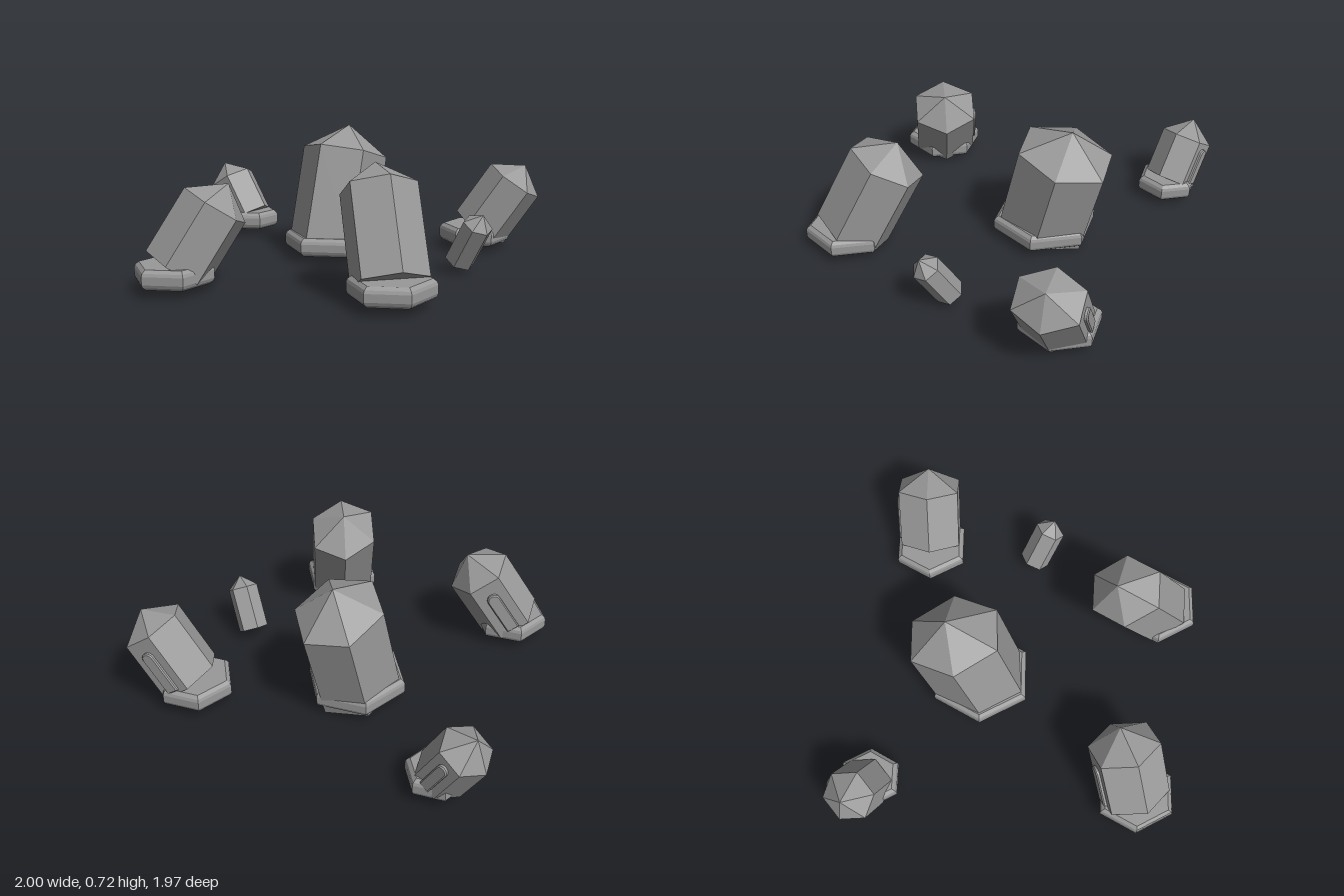
import * as THREE from 'three';

const stone = new THREE.MeshStandardMaterial({ color: 0x999999, flatShading: true });
stone.name = 'grey stone';

// Six-sided solid turned from a profile, with corners on the x axis.
function hexSolid(profile, name, stretch) {
  const points = profile.map(([r, y]) => new THREE.Vector2(r, y));
  const mesh = new THREE.Mesh(new THREE.LatheGeometry(points, 6, Math.PI / 2), stone);
  mesh.name = name;
  mesh.scale.z = stretch;
  return mesh;
}

// Flat bevelled hexagonal collar around a crystal's foot.
function makeCollar(x, z, r) {
  const collar = hexSolid([
    [0, 0.02], [r - 0.025, 0.02], [r - 0.006, 0.035], [r, 0.05],
    [r, 0.09], [r - 0.006, 0.105], [r - 0.025, 0.12], [0, 0.12],
  ], 'collar', 1.08);
  collar.position.set(x, 0, z);
  return collar;
}

// Slim bevelled rib on the back face of a crystal.
function makeRib(radius, apothem) {
  const w = radius * 0.17, length = radius * 1.45;
  const shape = new THREE.Shape();
  shape.moveTo(-w, 0);
  shape.lineTo(w, 0);
  shape.lineTo(w, length - w);
  shape.absarc(0, length - w, w, 0, Math.PI, false);
  shape.closePath();
  const geometry = new THREE.ExtrudeGeometry(shape, {
    depth: 0.012, bevelEnabled: true, bevelSize: 0.006, bevelThickness: 0.006,
    bevelSegments: 1, curveSegments: 4,
  });
  const rib = new THREE.Mesh(geometry, stone);
  rib.name = 'rib';
  rib.position.set(0, radius * 0.15, -apothem - 0.012);
  return rib;
}

// Tilted crystal running from the centre of its foot to its tip.
function makeCrystal({ base, tip, radius, shoulder, spin, stretch, rib }) {
  const crystal = new THREE.Group();
  crystal.name = 'crystal';
  const foot = new THREE.Vector3(...base);
  const axis = new THREE.Vector3(...tip).sub(foot);
  const length = axis.length();
  crystal.add(hexSolid(
    [[0, 0], [radius, 0], [radius, length * shoulder], [0, length]], 'crystalBody', stretch));
  if (rib) crystal.add(makeRib(radius, radius * 0.866 * stretch));
  const up = new THREE.Vector3(0, 1, 0);
  crystal.position.copy(foot);
  crystal.quaternion.setFromUnitVectors(up, axis.normalize());
  crystal.quaternion.multiply(new THREE.Quaternion().setFromAxisAngle(up, spin));
  return crystal;
}

export function createModel() {
  const model = new THREE.Group();
  model.name = 'crystalField';

  const crystals = [
    // tall centre crystal
    { base: [-0.15, 0.05, -0.2], tip: [-0.07, 0.7, -0.36], radius: 0.235, shoulder: 0.77,
      spin: 0.05, stretch: 1.13, collar: [-0.145, -0.2, 0.267] },
    // front crystal
    { base: [0.275, 0.085, 0.765], tip: [0.175, 0.615, 0.515], radius: 0.193, shoulder: 0.78,
      spin: -0.08, stretch: 1.1, collar: [0.285, 0.79, 0.215] },
    // front right-hand crystal
    { base: [-0.785, 0.09, 0.635], tip: [-0.545, 0.497, 0.53], radius: 0.176, shoulder: 0.74,
      spin: 0.42, stretch: 1.1, rib: true, collar: [-0.797, 0.645, 0.203] },
    // left-hand crystal
    { base: [0.675, 0.1, -0.51], tip: [0.925, 0.465, -0.51], radius: 0.164, shoulder: 0.76,
      spin: 0, stretch: 1.15, rib: true, collar: [0.64, -0.51, 0.2] },
    // back right-hand crystal
    { base: [-0.757, 0.08, -0.79], tip: [-0.93, 0.395, -0.87], radius: 0.138, shoulder: 0.7,
      spin: -0.42, stretch: 1.04, rib: true, collar: [-0.735, -0.775, 0.158] },
    // small loose crystal
    { base: [0.575, 0.04, 0.09], tip: [0.695, 0.305, 0.2], radius: 0.078, shoulder: 0.78,
      spin: -0.77, stretch: 1.08 },
  ];

  for (const spec of crystals) {
    model.add(makeCrystal(spec));
    if (spec.collar) model.add(makeCollar(...spec.collar));
  }
  return model;
}
